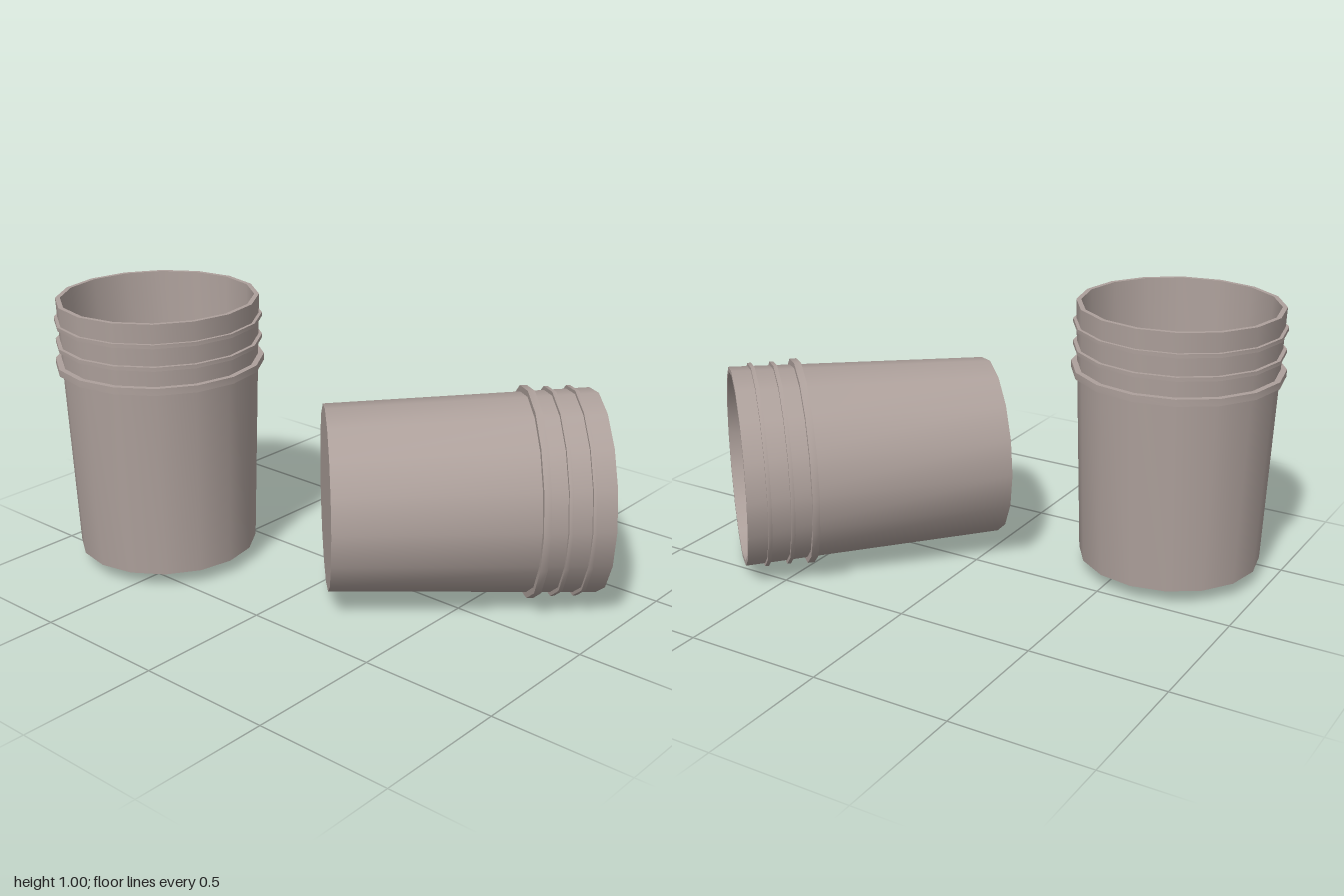
import * as THREE from 'three';
import { toCreasedNormals } from 'three/addons/utils/BufferGeometryUtils.js';

const SIDES = 16;
const HEIGHT = 0.945;
const BASE_R = 0.328;
const RIM_R = 0.362;
const WALL = 0.017;

// Revolve a profile: smooth around, sharp across the profile corners
function revolve(points, material, name) {
  const lathe = new THREE.LatheGeometry(points.map(([r, y]) => new THREE.Vector2(r, y)), SIDES);
  const mesh = new THREE.Mesh(toCreasedNormals(lathe, 0.6), material);
  mesh.name = name;
  return mesh;
}

function makeBucket(name, material) {
  const bucket = new THREE.Group();
  bucket.name = name;

  // Tapered hollow body with a closed base and open top
  bucket.add(revolve([
    [0, 0], [BASE_R, 0], [RIM_R, HEIGHT],
    [RIM_R - WALL, HEIGHT], [BASE_R - WALL, 0.02], [0, 0.02],
  ], material, 'body'));

  // Reinforcing ribs below the rim: [bottom, top, radius]
  const ribs = [[0.697, 0.722, 0.375], [0.782, 0.796, 0.37], [0.862, 0.876, 0.371]];
  for (const [y0, y1, r] of ribs) {
    bucket.add(revolve([[0.35, y0], [r, y0], [r, y1], [0.35, y1]], material, 'rib'));
  }
  return bucket;
}

export function createModel() {
  const plastic = new THREE.MeshStandardMaterial({ color: 0xada09b });
  plastic.name = 'warm grey plastic';

  const model = new THREE.Group();
  model.name = 'buckets';

  // Upright bucket at the back
  const upright = makeBucket('uprightBucket', plastic);
  upright.position.set(-0.33, 0.055, -0.625);

  // Bucket lying on its side, opening towards the front left
  const fallen = makeBucket('fallenBucket', plastic);
  fallen.rotation.set(Math.PI / 2, Math.PI / 4, 0, 'YXZ');
  fallen.position.set(-0.219, 0.377, 0.074);

  model.add(upright, fallen);
  return model;
}
